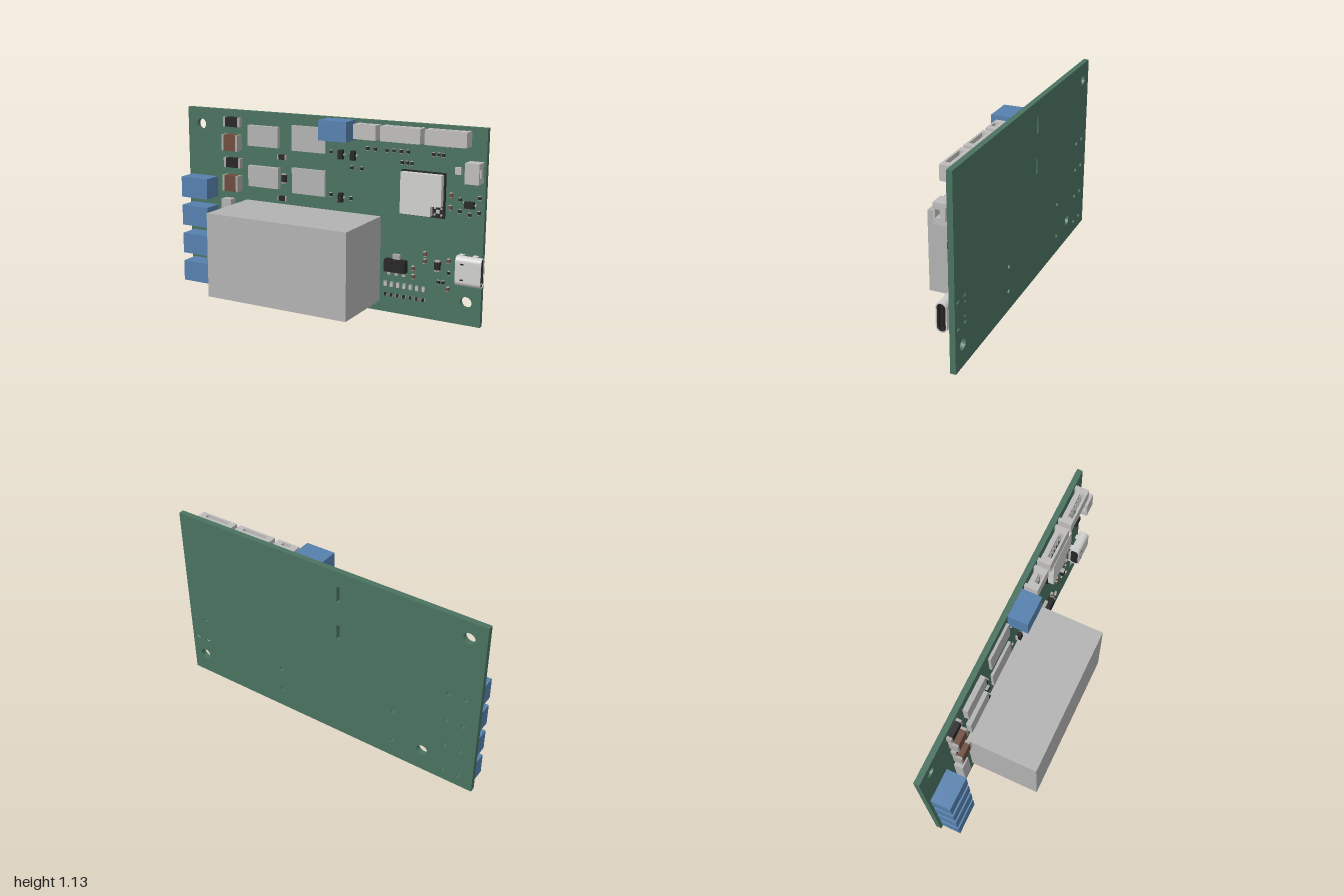
import * as THREE from 'three';

const mat = (name, color, double) => {
  const m = new THREE.MeshStandardMaterial({ color });
  m.name = name;
  if (double) m.side = THREE.DoubleSide;
  return m;
};

export function createModel() {
  const root = new THREE.Group();
  root.name = 'circuitBoard';
  const M = {
    green: mat('board green', 0x4a7260),
    grey: mat('module grey', 0xb2b2b2),
    blue: mat('terminal blue', 0x5580ad),
    shield: mat('shield light grey', 0xcfcfcd),
    plastic: mat('connector grey', 0xbdbcba),
    metal: mat('solder metal', 0xaaa8a4),
    black: mat('component black', 0x262626),
    brown: mat('capacitor brown', 0x6e4c3e),
  };
  const Z = -0.2; // component side of the board

  const add = (name, geo, m, parent = root) => {
    const mesh = new THREE.Mesh(geo, m);
    mesh.name = name;
    parent.add(mesh);
    return mesh;
  };
  // Box from x, y and height ranges; heights are measured from the board face
  const block = (name, m, x0, x1, y0, y1, h0, h1, parent = root, base = Z) => {
    const mesh = add(name, new THREE.BoxGeometry(x1 - x0, y1 - y0, h1 - h0), m, parent);
    mesh.position.set((x0 + x1) / 2, (y0 + y1) / 2, base + (h0 + h1) / 2);
    return mesh;
  };
  const rectPath = (x0, x1, y0, y1, Type = THREE.Path) => {
    const p = new Type();
    p.moveTo(x0, y0); p.lineTo(x1, y0); p.lineTo(x1, y1); p.lineTo(x0, y1);
    p.closePath();
    return p;
  };
  const roundPath = (w, h, r, Type = THREE.Path) => {
    const p = new Type(), a = w / 2 - r, b = h / 2 - r;
    p.absarc(a, b, r, 0, Math.PI / 2);
    p.absarc(-a, b, r, Math.PI / 2, Math.PI);
    p.absarc(-a, -b, r, Math.PI, Math.PI * 1.5);
    p.absarc(a, -b, r, Math.PI * 1.5, Math.PI * 2);
    p.closePath();
    return p;
  };
  const extrude = (shape, depth) =>
    new THREE.ExtrudeGeometry(shape, { depth, bevelEnabled: false, curveSegments: 16 });

  // Board with mounting holes, pin holes and slots
  const board = rectPath(-1, 0.985, 0, 1.13, THREE.Shape);
  const hole = (x, y, r) => board.holes.push(new THREE.Path().absarc(x, y, r, 0, Math.PI * 2, true));
  [[-0.9, 1.027], [-0.678, 0.144], [0.897, 0.134]].forEach(([x, y]) => hole(x, y, 0.034));
  [[0.294, 0.284], [0.294, 0.127], [-0.482, 0.337], [-0.482, 0.118]].forEach(([x, y]) => hole(x, y, 0.014));
  const terminalY = [0.083, 0.267, 0.452, 0.635];
  terminalY.forEach(y => [-0.815, -0.914].forEach(x => hole(x, y - 0.01, 0.014)));
  [0.408, 0.25].forEach(y => [0.868, 0.948].forEach(x =>
    board.holes.push(rectPath(x - 0.016, x + 0.016, y - 0.007, y + 0.007))));
  [0.372, 0.288].forEach(y => hole(0.868, y, 0.007));
  [[0.935, 1.035], [0.685, 0.78]].forEach(([a, b]) => board.holes.push(rectPath(-0.125, -0.105, a, b)));
  add('board', extrude(board, 0.033), M.green).position.z = Z - 0.033;

  // Large blocks
  block('powerSupply', M.grey, -0.565, 0.36, 0.06, 0.573, 0, 0.435);
  block('fuse', M.grey, -0.723, -0.652, 0.322, 0.573, 0, 0.055);
  [[0.92, 1.047], [0.668, 0.797]].forEach(([a, b]) => block('relayModule', M.grey, -0.535, -0.32, a, b, 0, 0.03));
  [[0.912, 1.065], [0.652, 0.808]].forEach(([a, b]) => block('sensorModule', M.grey, -0.23, -0.003, a, b, 0, 0.016));
  terminalY.forEach(y => block('screwTerminal', M.blue, -0.98, -0.785, y - 0.065, y + 0.065, 0, 0.12));
  block('topTerminal', M.blue, 0.01, 0.19, 1.007, 1.125, 0, 0.12);

  // Two-ended chip: dark body with metal caps
  const chip = (x, y, w, h, d, m = M.black, upright = false) => {
    const g = new THREE.Group();
    g.name = 'chipComponent';
    g.position.set(x, y, Z);
    if (upright) g.rotation.z = Math.PI / 2;
    const e = w * 0.13;
    block('chipBody', m, -w / 2 + e, w / 2 - e, -h / 2, h / 2, 0, d, g, 0);
    for (const s of [-1, 1])
      block('chipEnd', M.metal, s * (w / 2 - e / 2) - e / 2, s * (w / 2 - e / 2) + e / 2, -h / 2, h / 2, 0, d, g, 0);
    root.add(g);
  };
  // Left column of diodes and capacitors
  [1.057, 0.802].forEach(y => chip(-0.655, y, 0.122, 0.06, 0.03));
  [0.93, 0.675].forEach(y => chip(-0.655, y, 0.114, 0.1, 0.055, M.brown));
  chip(-0.303, 0.865, 0.06, 0.03, 0.015);
  chip(-0.288, 0.735, 0.06, 0.03, 0.015, M.black, true);
  chip(-0.303, 0.61, 0.06, 0.03, 0.015);
  // Small resistors
  const xs = [0.272, 0.32, 0.394, 0.437, 0.482, 0.525, 0.678, 0.71, 0.737];
  const resistors = [
    ...xs.map(x => [x, 0.965]), ...[0.49, 0.52, 0.55].map(x => [x, 0.902]),
    [0.033, 0.925], [0.17, 0.843], [0.235, 0.843], [0.033, 0.67], [0.167, 0.66],
    [0.843, 0.725], [0.843, 0.66], [0.955, 0.745], [0.955, 0.66], [0.902, 0.645],
    [0.79, 0.295], [0.73, 0.233], [0.757, 0.233],
  ];
  resistors.forEach(([x, y]) => chip(x, y, 0.024, 0.016, 0.01, M.black, true));
  // Small capacitors
  [[0.79, 0.745], [0.79, 0.675], [0.645, 0.388], [0.645, 0.345], [0.79, 0.365], [0.79, 0.2],
    [0.575, 0.292], [0.575, 0.243]].forEach(([x, y]) => chip(x, y, 0.028, 0.018, 0.016, M.brown, true));
  // Lower rows of lamps and resistors
  for (let i = 0; i < 7; i++) {
    chip(0.4 + i * 0.04, 0.175, 0.03, 0.018, 0.012, M.plastic, true);
    chip(0.4 + i * 0.04, 0.11, 0.024, 0.018, 0.01);
  }
  chip(0.725, 0.33, 0.062, 0.03, 0.025, M.black, true);

  // Small transistors with legs
  const transistor = (x, y, w, h) => {
    block('transistorBody', M.black, x - w / 2, x + w / 2, y - h / 2, y + h / 2, 0.003, 0.03);
    for (const [s, k] of [[-1, -0.3], [-1, 0.3], [1, 0]]) {
      const cx = x + s * (w / 2 + 0.004), cy = y + k * h;
      block('transistorLeg', M.metal, cx - 0.006, cx + 0.006, cy - 0.005, cy + 0.005, 0, 0.014);
    }
  };
  [[0.104, 0.917], [0.183, 0.917], [0.104, 0.66]].forEach(([x, y]) => transistor(x, y, 0.028, 0.055));
  transistor(0.902, 0.702, 0.056, 0.036);
  block('crystal', M.plastic, 0.812, 0.848, 0.866, 0.906, 0, 0.02);

  // Voltage regulator
  block('regulatorBody', M.black, 0.405, 0.538, 0.26, 0.333, 0.004, 0.045);
  block('regulatorTab', M.metal, 0.448, 0.494, 0.333, 0.362, 0, 0.02);
  [0.424, 0.471, 0.518].forEach(x => block('regulatorLeg', M.metal, x - 0.01, x + 0.01, 0.234, 0.26, 0, 0.016));

  // Wireless module: black base, notched shield, chip antenna
  block('wirelessBase', M.black, 0.49, 0.757, 0.607, 0.865, 0, 0.015);
  const can = new THREE.Shape([[0.5, 0.617], [0.686, 0.617], [0.686, 0.677], [0.748, 0.677], [0.748, 0.857], [0.5, 0.857]]
    .map(p => new THREE.Vector2(...p)));
  add('wirelessShield', extrude(can, 0.035), M.shield).position.z = Z + 0.015;
  block('antennaCore', M.plastic, 0.71, 0.73, 0.636, 0.656, 0.015, 0.026);
  for (const a of [0.7, 0.74]) for (const b of [0.626, 0.664])
    block('antennaPad', M.plastic, a - 0.005, a + 0.005, b - 0.005, b + 0.005, 0.015, 0.02);

  // Wire connector: open housing along local y, contacts and side anchors
  const connector = (x, y, w, depth, pins, turn = 0) => {
    const g = new THREE.Group();
    g.name = 'wireConnector';
    g.position.set(x, y, Z);
    g.rotation.z = turn;
    const a = w / 2, i = Math.min(0.042, w * 0.3);
    const s = new THREE.Shape([[-a, 0], [-a + 0.02, 0], [-a + 0.02, 0.012], [a - 0.02, 0.012], [a - 0.02, 0],
      [a, 0], [a, 0.08], [-a, 0.08]].map(p => new THREE.Vector2(...p)));
    s.holes.push(rectPath(-a + i, a - i, 0.042, 0.068));
    const body = add('connectorHousing', extrude(s, depth), M.plastic, g);
    body.rotation.x = Math.PI / 2;
    body.position.y = depth / 2;
    for (let k = 0; k < pins; k++) {
      const px = (k - (pins - 1) / 2) * (w - 0.1) / Math.max(pins - 1, 1);
      block('connectorPin', M.metal, px - 0.005, px + 0.005, -depth / 2 - 0.014, -depth / 2, 0, 0.012, g, 0);
      block('connectorContact', M.metal, px - 0.004, px + 0.004, -depth / 2 + 0.01, depth / 2 - 0.012, 0.042, 0.05, g, 0);
    }
    root.add(g);
  };
  connector(0.285, 1.068, 0.14, 0.085, 3);
  connector(0.505, 1.068, 0.244, 0.085, 6);
  connector(0.775, 1.068, 0.244, 0.085, 6);
  connector(0.932, 0.888, 0.115, 0.082, 2, -Math.PI / 2);

  // Charging socket: rounded shell along x, dark lining and tongue
  const socket = new THREE.Group();
  socket.name = 'chargingSocket';
  socket.position.set(0.85, 0.33, Z + 0.036);
  const tube = (name, w, h, t, len, x, m) => {
    const s = roundPath(w, h, h / 2 - 0.001, THREE.Shape);
    if (t) s.holes.push(roundPath(w - 2 * t, h - 2 * t, h / 2 - t - 0.001));
    const mesh = add(name, extrude(s, len), m, socket);
    mesh.rotation.set(Math.PI / 2, Math.PI / 2, 0);
    mesh.position.x = x;
  };
  tube('socketShell', 0.172, 0.062, 0.006, 0.15, 0, M.shield);
  tube('socketLining', 0.16, 0.05, 0.008, 0.14, 0.006, M.black);
  tube('socketBack', 0.158, 0.048, 0, 0.04, 0.004, M.black);
  tube('socketTongue', 0.12, 0.016, 0, 0.12, 0.02, M.black);
  for (const s of [-1, 1]) for (const x of [0.02, 0.1])
    block('socketAnchor', M.shield, x - 0.014, x + 0.014, s * 0.084 - 0.004, s * 0.084 + 0.004, -0.06, 0, socket, 0);
  for (let k = 0; k < 8; k++)
    block('socketContact', M.metal, -0.01, 0.004, -0.056 + k * 0.016 - 0.003, -0.056 + k * 0.016 + 0.003, -0.036, -0.026, socket, 0);
  for (const s of [-1, 1])
    block('socketLatch', M.black, 0.03, 0.05, s * 0.045 - 0.004, s * 0.045 + 0.004, 0.03, 0.0325, socket, 0);
  root.add(socket);

  return root;
}
